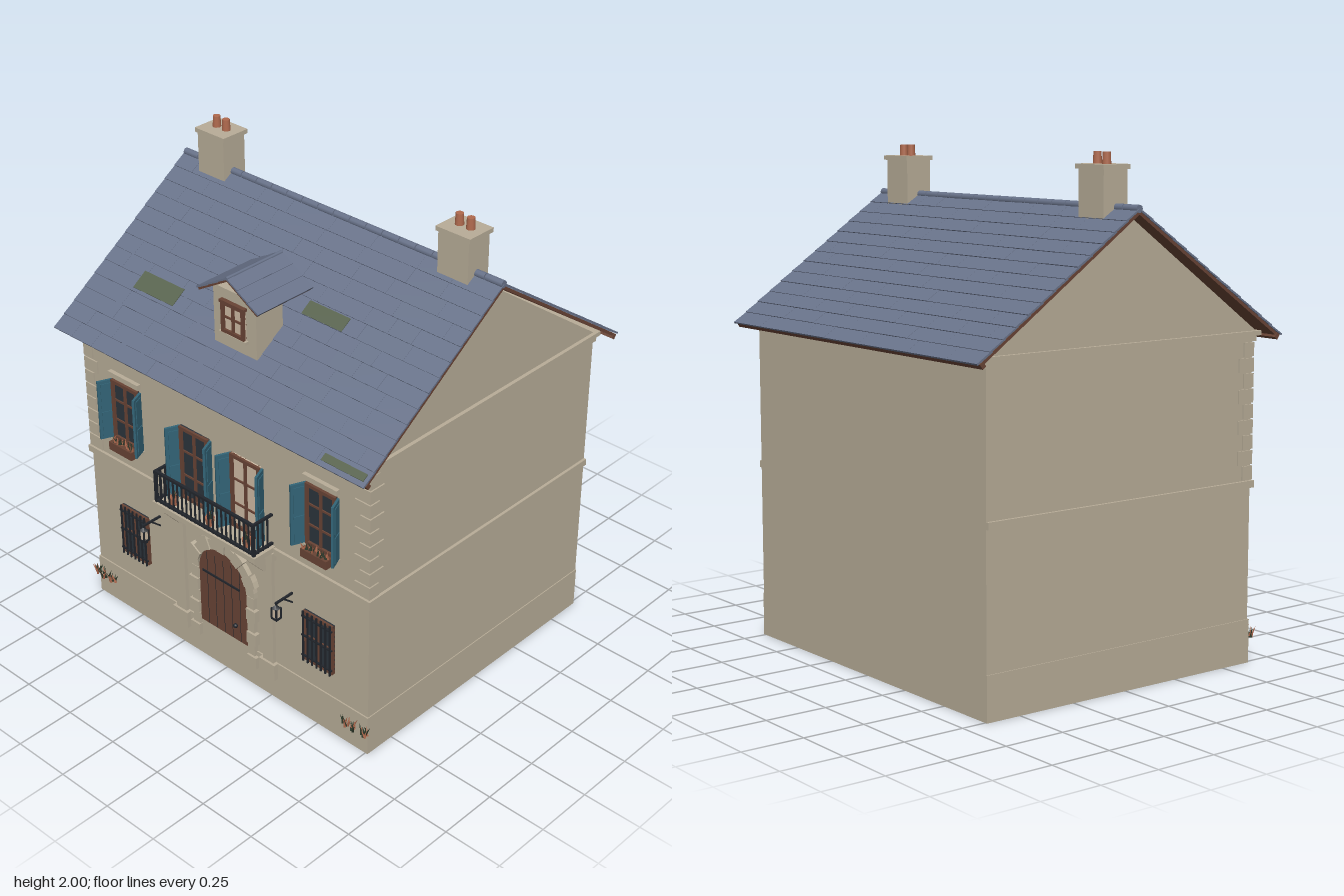
import * as THREE from 'three';

const flat = (name, color) => Object.assign(new THREE.MeshStandardMaterial({ color }), { name });
const M = {
  stone: flat('stone', 0xb8ad98), slate: flat('slate', 0x69738a), wood: flat('brown wood', 0x694435),
  teal: flat('teal paint', 0x336578), iron: flat('black iron', 0x22262c), glass: flat('dark glass', 0x2b343c),
  clay: flat('terracotta', 0xb06a4e), moss: flat('moss', 0x59644f), leaf: flat('foliage', 0x2f3a2b),
  pale: flat('pale pane', 0xcdbba4),
};
M.leaf.side = THREE.DoubleSide;

let seed = 7;
const rnd = () => (seed = (seed * 16807) % 2147483647) / 2147483647;

function add(parent, name, geo, mat, x = 0, y = 0, z = 0) {
  const m = new THREE.Mesh(geo, mat);
  m.name = name;
  m.position.set(x, y, z);
  parent.add(m);
  return m;
}
// box given by its limits on each axis
const slab = (p, name, mat, x0, x1, y0, y1, z0, z1) => add(p, name,
  new THREE.BoxGeometry(x1 - x0, y1 - y0, z1 - z0), mat, (x0 + x1) / 2, (y0 + y1) / 2, (z0 + z1) / 2);
const group = (p, name, x = 0, y = 0, z = 0) => {
  const g = new THREE.Group();
  g.name = name;
  g.position.set(x, y, z);
  p.add(g);
  return g;
};
const extrude = (pts, depth) => new THREE.ExtrudeGeometry(
  new THREE.Shape(pts.map(([x, y]) => new THREE.Vector2(x, y))), { depth, bevelEnabled: false });

const F = 0.63; // front wall plane

// framed window: centre x, bottom y, pane, wooden frame with glazing bars
function sash(p, w, h, pane, rows) {
  const t = 0.014, a = w / 2;
  slab(p, 'pane', pane, -a, a, 0, h, 0, 0.006);
  for (const s of [-1, 1]) slab(p, 'frameSide', M.wood, s * (a - t / 2) - t / 2, s * (a - t / 2) + t / 2, 0, h, 0, 0.016);
  slab(p, 'frameTop', M.wood, -a, a, h - t, h, 0, 0.016);
  slab(p, 'frameBottom', M.wood, -a, a, 0, t, 0, 0.016);
  slab(p, 'mullion', M.wood, -0.006, 0.006, 0, h, 0, 0.013);
  for (let i = 1; i < rows; i++) slab(p, 'glazingBar', M.wood, -a, a, h * i / rows - 0.004, h * i / rows + 0.004, 0, 0.011);
}

// pair of louvred shutters swung out from the wall
function shutters(p, w, h) {
  for (const s of [-1, 1]) {
    const g = group(p, 'shutter', s * (w / 2 + 0.004), 0, 0);
    g.rotation.y = s * 0.4;
    slab(g, 'shutterPanel', M.teal, -0.005, 0.005, 0, h, 0, 0.066);
    for (const [a, b] of [[0.05, 0.47], [0.53, 0.95]])
      slab(g, 'shutterInset', M.teal, -0.008, 0.008, h * a, h * b, 0.012, 0.054);
  }
}

// tuft of leaning blades
function tuft(p, x, y, z, h, n, tip) {
  const g = group(p, 'plant', x, y, z);
  for (let i = 0; i < n; i++) {
    const k = h * (0.6 + 0.4 * rnd()), c = new THREE.ConeGeometry(0.006, k, 4);
    c.translate(0, k / 2, 0);
    const m = add(g, 'blade', c, tip && i % 3 === 0 ? M.clay : M.leaf, (rnd() - 0.5) * 0.03, 0, (rnd() - 0.5) * 0.02);
    m.rotation.set((rnd() - 0.5) * 0.7, 0, (rnd() - 0.5) * 0.9);
  }
}

function buildWalls(p) {
  slab(p, 'houseBody', M.stone, -0.757, 0.757, 0, 1.3, -0.65, F);
  slab(p, 'plinth', M.stone, -0.761, 0.761, 0, 0.175, -0.65, F + 0.006);
  slab(p, 'stringCourse', M.stone, -0.769, 0.769, 0.7, 0.728, -0.65, F + 0.012);
  slab(p, 'corniceLower', M.stone, -0.765, 0.765, 1.27, 1.292, -0.66, F + 0.015);
  slab(p, 'corniceUpper', M.stone, -0.772, 0.772, 1.292, 1.31, -0.675, 0.665);
  const gable = extrude([[-0.655, 1.305], [0.655, 1.305], [0, 1.772]], 1.514);
  gable.rotateY(Math.PI / 2);
  add(p, 'gableWalls', gable, M.stone, -0.757, 0, 0);
  // alternating corner stones on the upper floor
  for (const s of [-1, 1]) for (let i = 0; i < 9; i++) {
    const y = 0.732 + i * 0.06, w = i % 2 ? 0.045 : 0.07;
    const a = s * 0.763, b = s * (0.757 - w);
    slab(p, 'quoin', M.stone, Math.min(a, b), Math.max(a, b), y, y + 0.054, F - (i % 2 ? 0.07 : 0.045), F + 0.006);
  }
}

function buildRoof(p) {
  const roof = group(p, 'roof'), L = 0.88, W = 1.63, rows = 13;
  for (const back of [0, 1]) {
    const g = group(roof, back ? 'backSlope' : 'frontSlope', 0, 1.793, 0);
    g.rotation.order = 'YXZ';
    g.rotation.set(0.606, back * Math.PI, 0);
    slab(g, 'roofDeck', M.wood, -W / 2 + 0.003, W / 2 - 0.003, -0.012, 0, 0, L - 0.005);
    // overlapping slate courses of uneven lengths
    for (let r = 0; r < rows; r++) {
      const z = r * L / rows, d = L / rows;
      for (let x = -W / 2; x < W / 2 - 0.001;) {
        let w = 0.1 + rnd() * 0.16;
        if (x + w > W / 2 - 0.08) w = W / 2 - x;
        const t = 0.006 + rnd() * 0.002;
        const m = add(g, 'slate', new THREE.BoxGeometry(w - 0.0008, t, d + 0.01), M.slate, x + w / 2, 0.005, z + d / 2);
        m.rotation.x = -0.045;
        x += w;
      }
    }
    if (!back) for (const [x, z, w, d] of [[-0.49, 0.56, 0.22, 0.08], [0.25, 0.38, 0.2, 0.06], [0.7, 0.85, 0.2, 0.03]])
      slab(g, 'mossPatch', M.moss, x - w / 2, x + w / 2, 0.009, 0.0125, z - d / 2, z + d / 2);
    slab(g, 'eavesBoard', M.wood, -W / 2, W / 2, -0.022, 0, L - 0.022, L - 0.004);
  }
  // rounded ridge tiles
  for (let i = 0; i < 20; i++) {
    const c = new THREE.CylinderGeometry(0.015, 0.015, W / 20 - 0.004, 10);
    c.rotateZ(Math.PI / 2);
    add(roof, 'ridgeTile', c, M.slate, -W / 2 + (i + 0.5) * W / 20, 1.799, 0);
  }
}

function buildChimney(p, x) {
  const g = group(p, 'chimney', x, 0, -0.008);
  slab(g, 'chimneyShaft', M.stone, -0.071, 0.071, 1.6, 1.94, -0.056, 0.058);
  slab(g, 'chimneyCap', M.stone, -0.08, 0.08, 1.937, 1.955, -0.066, 0.064);
  for (const s of [-1, 1]) add(g, 'chimneyPot', new THREE.CylinderGeometry(0.015, 0.018, 0.06, 12), M.clay, s * 0.026, 1.97, -0.004);
}

function buildDormer(p) {
  const g = group(p, 'dormer');
  slab(g, 'dormerWalls', M.stone, -0.11, 0.11, 1.435, 1.675, 0.4, 0.537);
  const w = group(g, 'dormerWindow', 0, 1.5, 0.537);
  sash(w, 0.118, 0.13, M.pale, 2);
  slab(w, 'dormerSill', M.stone, -0.07, 0.07, -0.012, 0, 0, 0.018);
  slab(w, 'dormerHead', M.wood, -0.064, 0.064, 0.122, 0.134, 0, 0.018);
  for (const s of [-1, 1]) {
    const r = group(g, 'dormerSlope', 0, 1.748, 0.432);
    r.rotation.z = -s * 0.53;
    const a = s > 0 ? 0 : -0.18;
    slab(r, 'dormerDeck', M.wood, a, a + 0.18, -0.012, -0.003, -0.14, 0.14);
    for (let i = 0; i < 3; i++) {
      const m = add(r, 'dormerSlates', new THREE.BoxGeometry(0.066, 0.007, 0.286), M.slate, s * (0.03 + i * 0.06), 0, 0);
      m.rotation.z = s * 0.04;
    }
  }
  const c = new THREE.CylinderGeometry(0.007, 0.007, 0.286, 8).rotateX(Math.PI / 2);
  add(g, 'dormerRidge', c, M.slate, 0, 1.748, 0.432);
}

function buildEntrance(p) {
  const g = group(p, 'entrance'), R = 0.135, cy = 0.44;
  const door = new THREE.Shape();
  door.moveTo(-R, 0.178).lineTo(R, 0.178).lineTo(R, cy).absarc(0, cy, R, 0, Math.PI).lineTo(-R, 0.178);
  add(g, 'door', new THREE.ExtrudeGeometry(door, { depth: 0.01, bevelEnabled: false, curveSegments: 16 }), M.wood, 0, 0, F);
  for (let i = -2; i <= 2; i++) slab(g, 'doorGroove', M.iron, i * 0.045 - 0.001, i * 0.045 + 0.001, 0.18, 0.53, F, F + 0.0108);
  slab(g, 'doorStrap', M.iron, -0.115, 0.09, 0.429, 0.437, F, F + 0.015);
  add(g, 'doorKnob', new THREE.SphereGeometry(0.01, 10, 8), M.iron, 0.065, 0.25, F + 0.015);
  // wedge stones of the arch
  for (let i = 0; i < 11; i++) {
    const a0 = Math.PI * (i + 0.02) / 11, a1 = Math.PI * (i + 0.98) / 11, o = i === 5 ? 0.205 : i % 2 ? 0.196 : 0.18;
    const pt = (r, a) => [r * Math.cos(a), r * Math.sin(a)], mid = (a0 + a1) / 2;
    add(g, 'archStone', extrude([pt(R, a0), pt(o, a0), pt(o, mid), pt(o, a1), pt(R, a1), pt(R, mid)], i % 2 ? 0.025 : 0.02), M.stone, 0, cy, F);
  }
  for (const s of [-1, 1]) {
    const h = group(g, s > 0 ? 'leftPier' : 'rightPier', s * 0.245, 0, F);
    for (let i = 0; i < 6; i++) {
      const w = i % 2 ? 0.038 : 0.05, y = 0.1 + i * 0.0567;
      slab(g, 'jambStone', M.stone, s * (R + w / 2) - w / 2, s * (R + w / 2) + w / 2, y, y + 0.053, F, F + (i % 2 ? 0.018 : 0.024));
    }
    slab(h, 'pierBase', M.stone, -0.042, 0.042, 0.1, 0.175, 0, 0.026);
    slab(h, 'pierShaft', M.stone, -0.028, 0.028, 0.175, 0.69, 0, 0.016);
    slab(h, 'pierCapital', M.stone, -0.04, 0.04, 0.672, 0.71, 0, 0.024);
    const c = extrude([[0, 0.61], [0.025, 0.61], [0.095, 0.69], [0.095, 0.712], [0, 0.712]], 0.026);
    c.rotateY(-Math.PI / 2);
    add(h, 'balconyBracket', c, M.stone, -s * 0.015 + 0.013, 0, 0);
  }
}

function buildBalcony(p) {
  const g = group(p, 'balcony'), z1 = 0.73;
  slab(g, 'balconyFloor', M.stone, -0.28, 0.28, 0.71, 0.732, F, 0.742);
  for (const y of [0.742, 0.872]) {
    slab(g, 'frontRail', M.iron, -0.27, 0.27, y - 0.005, y + 0.005, z1 - 0.006, z1 + 0.006);
    for (const s of [-1, 1]) slab(g, 'sideRail', M.iron, s * 0.265 - 0.005, s * 0.265 + 0.005, y - 0.005, y + 0.005, F, z1);
  }
  const bar = (x, z, r) => slab(g, 'railBar', M.iron, x - r, x + r, 0.732, 0.872, z - r, z + r);
  for (let i = 0; i <= 22; i++) bar(-0.265 + i * 0.53 / 22, z1, i % 22 ? 0.0028 : 0.006);
  for (const s of [-1, 1]) for (let i = 1; i < 4; i++) bar(s * 0.265, F + i * 0.025, 0.0028);
  // potted plants behind the railing
  for (const x of [-0.2, 0, 0.2]) {
    add(g, 'flowerPot', new THREE.CylinderGeometry(0.02, 0.014, 0.035, 10), M.clay, x, 0.75, 0.7);
    tuft(g, x, 0.765, 0.7, 0.045, 9, true);
  }
  for (const s of [-1, 1]) {
    const d = group(g, s > 0 ? 'leftBalconyDoor' : 'rightBalconyDoor', s * 0.138, 0.732, F);
    sash(d, 0.155, 0.33, s > 0 ? M.pale : M.glass, 3);
    shutters(d, 0.155, 0.325);
  }
}

function buildSide(p, s) {
  // upper window with shutters and flower box
  const u = group(p, 'upperWindow', s * 0.525, 0.84, F);
  sash(u, 0.15, 0.27, M.glass, 3);
  shutters(u, 0.15, 0.265);
  slab(u, 'lintel', M.stone, -0.085, 0.085, 0.283, 0.305, 0, 0.018);
  slab(u, 'sill', M.stone, -0.09, 0.09, -0.012, 0, 0, 0.02);
  slab(u, 'flowerBox', M.wood, -0.065, 0.065, -0.034, 0.002, 0.018, 0.052);
  for (let i = -2; i <= 2; i++) tuft(u, i * 0.024, 0, 0.035, 0.035, 5, true);
  // barred ground floor window
  const l = group(p, 'lowerWindow', s * 0.51, 0.292, F);
  sash(l, 0.152, 0.23, M.glass, 2);
  for (let i = -3; i <= 3; i++) slab(l, 'windowBar', M.iron, i * 0.023 - 0.003, i * 0.023 + 0.003, -0.004, 0.234, 0.018, 0.024);
  for (const y of [0.02, 0.115, 0.205]) slab(l, 'crossBar', M.iron, -0.078, 0.078, y, y + 0.006, 0.016, 0.023);
  // wall lantern
  const n = group(p, 'lantern', s * 0.367, 0, 0.718);
  slab(n, 'lanternArm', M.iron, -0.004, 0.004, 0.556, 0.564, F - 0.718, 0.004);
  const brace = slab(n, 'lanternBrace', M.iron, -0.003, 0.003, -0.003, 0.003, -0.035, 0.035);
  brace.position.set(0, 0.538, -0.062);
  brace.rotation.x = -0.7;
  add(n, 'lanternHook', new THREE.CylinderGeometry(0.003, 0.003, 0.02, 6), M.iron, 0, 0.554, 0);
  add(n, 'lanternRoof', new THREE.ConeGeometry(0.021, 0.016, 4, 1, false, Math.PI / 4), M.iron, 0, 0.545, 0);
  slab(n, 'lanternGlass', M.pale, -0.011, 0.011, 0.495, 0.538, -0.011, 0.011);
  slab(n, 'lanternBase', M.iron, -0.014, 0.014, 0.487, 0.496, -0.014, 0.014);
  for (const x of [-0.012, 0.012]) for (const z of [-0.012, 0.012])
    slab(n, 'lanternPost', M.iron, x - 0.003, x + 0.003, 0.49, 0.54, z - 0.003, z + 0.003);
  // grass at the foot of the wall
  for (const x of [0.66, 0.7, 0.755]) tuft(p, s * x, 0.1, 0.655, 0.05, 10, true);
}

export function createModel() {
  const house = new THREE.Group();
  house.name = 'townHouse';
  buildWalls(house);
  buildRoof(house);
  for (const s of [-1, 1]) {
    buildChimney(house, s * 0.617);
    buildSide(group(house, s > 0 ? 'leftFacade' : 'rightFacade'), s);
  }
  buildDormer(house);
  buildEntrance(house);
  buildBalcony(house);
  return house;
}
